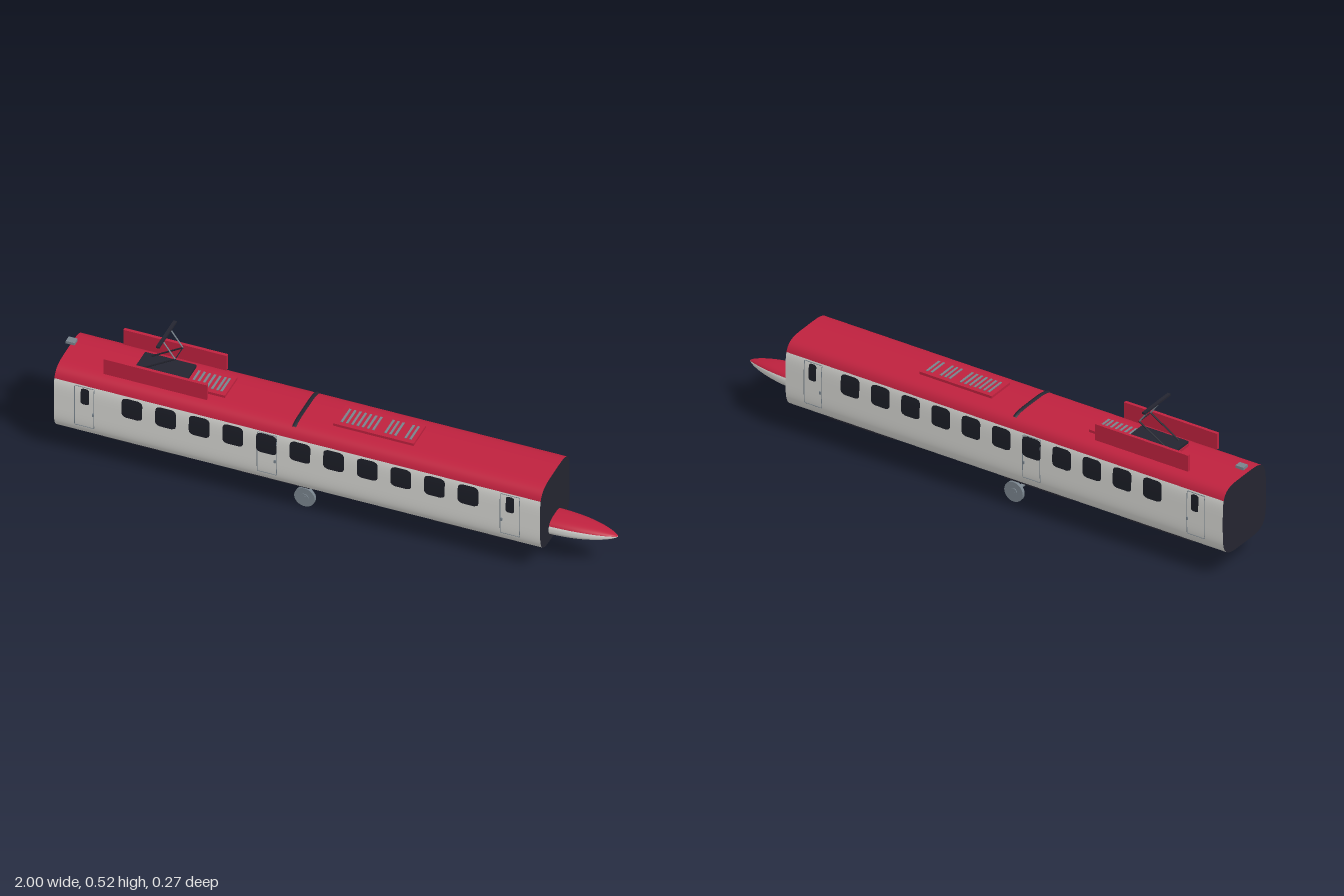
import * as THREE from 'three';

const material = (name, color) => {
  const m = new THREE.MeshStandardMaterial({ color });
  m.name = name;
  return m;
};

// Body section: a superellipse in the yz plane
const HALF_W = 0.13, HALF_H = 0.132, MID_Y = 0.23, POWER = 4.5;
const sidePoint = (a, b, n, t) => {
  const c = Math.cos(t), s = Math.sin(t);
  return [a * Math.sign(c) * Math.abs(c) ** (2 / n), b * Math.sign(s) * Math.abs(s) ** (2 / n)];
};
const splitAngle = (ratio, n) => Math.asin(ratio ** (n / 2));
const surfaceZ = y => HALF_W * (1 - Math.abs((y - MID_Y) / HALF_H) ** POWER) ** (1 / POWER);
const surfaceY = z => MID_Y + HALF_H * (1 - Math.abs(z / HALF_W) ** POWER) ** (1 / POWER);

// Skin through scaled sections along x, covering angles t0 to t1
function shell(a, b, n, sections, t0, t1, seg) {
  const pos = [], index = [], row = seg + 1;
  sections.forEach(({ x, s, y }) => {
    for (let j = 0; j <= seg; j++) {
      const [z, h] = sidePoint(a, b, n, t0 + (t1 - t0) * j / seg);
      pos.push(x, y + h * s, z * s);
    }
  });
  for (let i = 0; i < sections.length - 1; i++) for (let j = 0; j < seg; j++) {
    const p = i * row + j, q = p + row;
    index.push(p, q, q + 1, p, q + 1, p + 1);
  }
  const g = new THREE.BufferGeometry();
  g.setAttribute('position', new THREE.Float32BufferAttribute(pos, 3));
  g.setIndex(index);
  g.computeVertexNormals();
  return g;
}

// Rounded pane that follows the curve of the side wall
function pane(x, y, w, h, r) {
  const g = new THREE.PlaneGeometry(w, h, 1, 20), p = g.attributes.position;
  for (let i = 0; i < p.count; i++) {
    const v = p.getY(i), d = Math.max(0, Math.abs(v) - (h / 2 - r));
    const half = w / 2 - r + Math.sqrt(Math.max(0, r * r - d * d));
    p.setXYZ(i, x + Math.sign(p.getX(i)) * half, y + v, surfaceZ(y + v) + 0.0015);
  }
  g.computeVertexNormals();
  return g;
}

// Thin seam around a door, bent to the side wall
function seam(x0, x1, y0, y1) {
  const pts = [], n = 14;
  const add = (x, y) => pts.push(new THREE.Vector3(x, y, surfaceZ(y) + 0.0003));
  for (let i = 0; i < n; i++) add(x0, y0 + (y1 - y0) * i / n);
  for (let i = 0; i < 4; i++) add(x0 + (x1 - x0) * i / 4, y1);
  for (let i = 0; i < n; i++) add(x1, y1 + (y0 - y1) * i / n);
  for (let i = 0; i < 4; i++) add(x1 + (x0 - x1) * i / 4, y0);
  return new THREE.TubeGeometry(new THREE.CatmullRomCurve3(pts, true, 'catmullrom', 0.2), 90, 0.0014, 4, true);
}

export function createModel() {
  const model = new THREE.Group();
  model.name = 'railcar';
  const white = material('white paint', 0xd4d4d0);
  const red = material('red paint', 0xbe213e);
  const dark = material('dark navy', 0x242530);
  const glass = material('dark glass', 0x1b1d26);
  const grey = material('grey metal', 0x78838c);

  const add = (name, geo, mat, x = 0, y = 0, z = 0, parent = model) => {
    const m = new THREE.Mesh(geo, mat);
    m.name = name;
    m.position.set(x, y, z);
    parent.add(m);
    return m;
  };
  const box = (name, mat, x0, x1, y0, y1, z0, z1) =>
    add(name, new THREE.BoxGeometry(x1 - x0, y1 - y0, z1 - z0), mat, (x0 + x1) / 2, (y0 + y1) / 2, (z0 + z1) / 2);
  const rod = (name, mat, a, b, r) => {
    const from = new THREE.Vector3(...a), to = new THREE.Vector3(...b), d = to.clone().sub(from);
    const m = add(name, new THREE.CylinderGeometry(r, r, d.length(), 8), mat);
    m.position.copy(from).add(to).multiplyScalar(0.5);
    m.quaternion.setFromUnitVectors(new THREE.Vector3(0, 1, 0), d.normalize());
  };

  // Body: white lower shell, red roof, dark end walls
  const X0 = -0.995, X1 = 0.77;
  const ends = [{ x: X0, s: 1, y: MID_Y }, { x: X1, s: 1, y: MID_Y }];
  const split = splitAngle((0.32 - MID_Y) / HALF_H, POWER);
  add('lowerBody', shell(HALF_W, HALF_H, POWER, ends, -Math.PI - split, split, 160), white);
  add('roof', shell(HALF_W, HALF_H, POWER, ends, split, Math.PI - split, 120), red);
  const outline = [];
  for (let i = 0; i < 160; i++) {
    outline.push(new THREE.Vector2(...sidePoint(HALF_W, HALF_H, POWER, i / 160 * Math.PI * 2)));
  }
  for (const [name, x, turn] of [['frontEndWall', X1, 1], ['rearEndWall', X0, -1]]) {
    add(name, new THREE.ShapeGeometry(new THREE.Shape(outline)), dark, x, MID_Y).rotation.y = turn * Math.PI / 2;
  }

  // Nose: tapering cone, red above and white below
  const sections = [];
  for (let i = 0; i <= 24; i++) {
    const t = Math.sin(i / 24 * Math.PI / 2);
    sections.push({ x: X1 + 0.23 * t, s: Math.max(0.001, (1 - t * t) ** 0.7), y: 0.15 + 0.002 * t });
  }
  const noseSplit = splitAngle(0.45, 2.6);
  add('noseLower', shell(0.055, 0.032, 2.6, sections, -Math.PI - noseSplit, noseSplit, 48), white);
  add('noseUpper', shell(0.055, 0.032, 2.6, sections, noseSplit, Math.PI - noseSplit, 40), red);

  // Both sides: windows, doors, handles
  for (const side of [1, -1]) {
    const wall = new THREE.Group();
    wall.name = side > 0 ? 'frontSide' : 'backSide';
    if (side < 0) wall.rotation.y = Math.PI;
    model.add(wall);
    for (let i = 0; i < 11; i++) {
      add('window', pane(side * (-0.711 + i * 0.122), 0.274, 0.075, 0.078, 0.016), glass, 0, 0, 0, wall);
    }
    for (const x of [-0.882, 0.661]) {
      add('doorWindow', pane(side * x, 0.278, 0.03, 0.064, 0.008), glass, 0, 0, 0, wall);
    }
    for (const x of [-0.885, -0.222, 0.66]) {
      add('doorSeam', seam(side * x - 0.035, side * x + 0.035, 0.15, 0.314), grey, 0, 0, 0, wall);
    }
    for (const x of [-0.852, -0.192, 0.63]) {
      add('doorHandle', new THREE.BoxGeometry(0.006, 0.011, 0.006), grey, side * x, 0.21, 0.131, wall);
    }
  }

  // Roof hatches with grey slats
  box('rearHatch', red, -0.735, -0.405, 0.355, 0.371, -0.055, 0.055);
  box('middleHatch', red, -0.012, 0.28, 0.355, 0.371, -0.055, 0.055);
  const slats = (from, count, step) => {
    for (let i = 0; i < count; i++) {
      const x = from + i * step;
      box('slat', grey, x - 0.004, x + 0.004, 0.368, 0.373, -0.038, 0.038);
    }
  };
  slats(-0.535, 6, 0.019);
  slats(-0.425, 1, 0);
  slats(0.012, 7, 0.019);
  slats(0.17, 3, 0.018);
  slats(0.243, 2, 0.018);

  // Curved band across the roof
  const bandPts = [];
  for (let i = 0; i <= 24; i++) {
    const z = -0.1 + 0.2 * i / 24;
    bandPts.push(new THREE.Vector3(-0.135, surfaceY(z) - 0.004, z));
  }
  add('roofBand', new THREE.TubeGeometry(new THREE.CatmullRomCurve3(bandPts), 48, 0.009, 8), dark);

  // Red side screens around the current collector
  for (const s of [-1, 1]) {
    box('roofScreen', red, -0.83, -0.455, 0.365, 0.427, s * 0.087 - 0.006, s * 0.087 + 0.006);
  }

  // Current collector: base, folded arms, contact bar
  box('collectorBase', dark, -0.737, -0.55, 0.376, 0.385, -0.048, 0.048);
  for (const x of [-0.7, -0.59]) for (const s of [-1, 1]) {
    box('baseFoot', grey, x - 0.008, x + 0.008, 0.365, 0.377, s * 0.034 - 0.006, s * 0.034 + 0.006);
  }
  for (const s of [-1, 1]) {
    const z = s * 0.034;
    rod('lowerArm', dark, [-0.71, 0.384, z], [-0.594, 0.455, z], 0.003);
    rod('upperArm', grey, [-0.594, 0.455, z], [-0.64, 0.52, z], 0.0025);
  }
  rod('armHinge', dark, [-0.594, 0.455, -0.036], [-0.594, 0.455, 0.036], 0.002);
  box('contactBar', dark, -0.646, -0.634, 0.518, 0.525, -0.077, 0.077);

  // Small block above the rear edge
  box('rearRoofBlock', grey, -1, -0.968, 0.387, 0.397, -0.0135, 0.0135);

  // Underside strips
  for (const x of [-0.712, -0.217, 0.492]) for (const s of [-1, 1]) {
    box('undersideStrip', dark, x - 0.133, x + 0.133, 0.093, 0.112, s * 0.082 - 0.005, s * 0.082 + 0.005);
  }

  // Wheelset
  const disc = (name, r, w, z) => {
    add(name, new THREE.CylinderGeometry(r, r, w, 32), grey, -0.11, 0.038, z).rotation.x = Math.PI / 2;
  };
  disc('axle', 0.007, 0.146, 0);
  for (const s of [-1, 1]) {
    disc('wheel', 0.0375, 0.012, s * 0.064);
    disc('wheelHub', 0.015, 0.017, s * 0.064);
  }
  return model;
}
